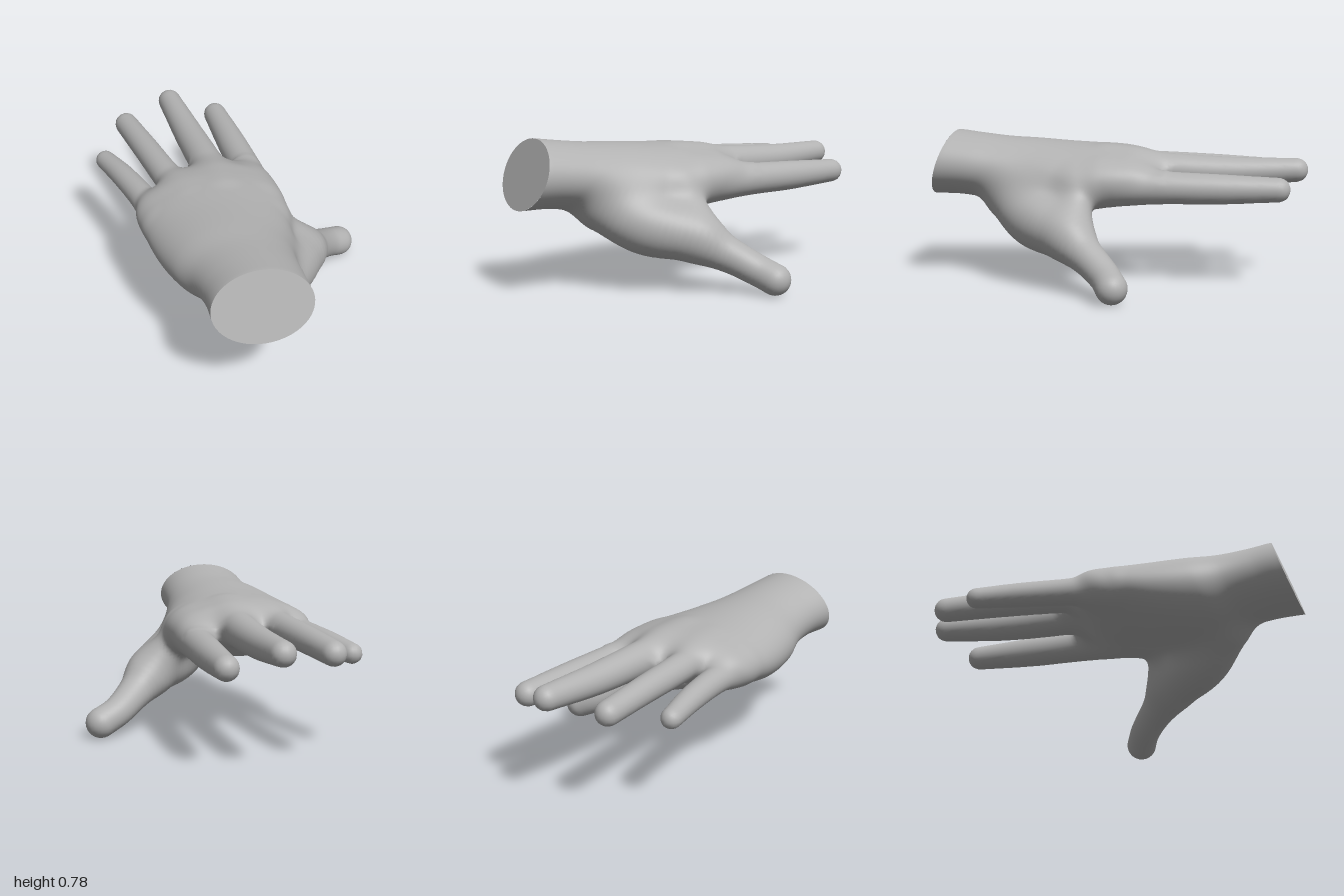
import * as THREE from 'three';

// The wrist is cut by a sloping plane: w = z + SLOPE * (y - MID_Y) is constant on it.
const SLOPE = 0.33, MID_Y = 0.61, CUT = 0.943;
const STEP = 0.018;                       // mesh resolution
const SIZE = [83, 52, 114];               // grid cells along x, y, w
const ORIGIN = [-0.75, -0.07, CUT - SIZE[2] * STEP];

// Palm and wrist sections, from knuckles to wrist: [w, left edge, right edge, top, bottom]
const SECTIONS = [
  [-0.26, -0.19, 0.05, 0.585, 0.555],
  [-0.19, -0.29, 0.13, 0.635, 0.475],
  [-0.1, -0.43, 0.19, 0.685, 0.41],
  [0, -0.525, 0.215, 0.705, 0.383],
  [0.12, -0.525, 0.22, 0.715, 0.362],
  [0.3, -0.495, 0.205, 0.725, 0.338],
  [0.5, -0.435, 0.17, 0.74, 0.36],
  [0.65, -0.37, 0.155, 0.75, 0.41],
  [0.8, -0.34, 0.155, 0.767, 0.433],
  [CUT, -0.335, 0.16, 0.785, 0.435],
];
const PALM_END = SECTIONS[0][0];

// Digits as chains of [x, y, z, radius], from tip to root
const DIGITS = {
  indexFinger: [[0.057, 0.513, -0.857, 0.063], [0.085, 0.513, -0.55, 0.078], [0.107, 0.518, -0.25, 0.087], [0.1, 0.523, 0.06, 0.117]],
  middleFinger: [[-0.193, 0.588, -0.937, 0.063], [-0.148, 0.577, -0.6, 0.079], [-0.107, 0.586, -0.25, 0.09], [-0.09, 0.6, 0.06, 0.1]],
  ringFinger: [[-0.466, 0.555, -0.798, 0.062], [-0.4, 0.572, -0.5, 0.069], [-0.333, 0.583, -0.2, 0.076], [-0.262, 0.59, 0.08, 0.086]],
  littleFinger: [[-0.622, 0.503, -0.543, 0.052], [-0.552, 0.52, -0.35, 0.062], [-0.476, 0.53, -0.1, 0.07], [-0.425, 0.53, 0.12, 0.085]],
  thumb: [[0.592, 0.083, -0.088, 0.08], [0.505, 0.125, -0.035, 0.08], [0.402, 0.2, 0.075, 0.092],
    [0.28, 0.29, 0.235, 0.13], [0.148, 0.345, 0.4, 0.155], [0.015, 0.435, 0.56, 0.135]],
};
// Skin between the finger roots, and between palm and thumb
const FINGER_WEB = [[-0.42, 0.53, 0.01, 0.065], [-0.22, 0.58, -0.13, 0.065], [0, 0.555, -0.17, 0.065], [0.1, 0.53, -0.12, 0.065]];
const THUMB_WEB = [[0.13, 0.5, 0.18, 0.09], [0.23, 0.4, 0.165, 0.078], [0.3, 0.3, 0.17, 0.088]];

// Distance to a smooth tapering chain of spheres
function chain(points) {
  const path = new THREE.CatmullRomCurve3(points.map(p => new THREE.Vector3(p[0], p[1], p[2])));
  const radius = new THREE.CatmullRomCurve3(points.map((p, i) => new THREE.Vector3(p[3], i, 0)));
  const count = (points.length - 1) * 7;
  const nodes = [];
  for (let i = 0; i <= count; i++) {
    const c = path.getPoint(i / count);
    nodes.push([c.x, c.y, c.z, radius.getPoint(i / count).x]);
  }
  return (x, y, z) => {
    let best = Infinity;
    for (let i = 0; i < count; i++) {
      const a = nodes[i], b = nodes[i + 1];
      const ux = b[0] - a[0], uy = b[1] - a[1], uz = b[2] - a[2];
      const px = x - a[0], py = y - a[1], pz = z - a[2];
      const t = Math.min(1, Math.max(0, (px * ux + py * uy + pz * uz) / (ux * ux + uy * uy + uz * uz)));
      const dx = px - t * ux, dy = py - t * uy, dz = pz - t * uz;
      best = Math.min(best, Math.sqrt(dx * dx + dy * dy + dz * dz) - a[3] - t * (b[3] - a[3]));
    }
    return best;
  };
}

// Distance to the elliptical loft of the palm and wrist
const loft = new THREE.CubicInterpolant(
  new Float32Array(SECTIONS.map(s => s[0])), new Float32Array(SECTIONS.flatMap(s => s.slice(1))), 4);
function palmLoft(x, y, z) {
  const w = z + SLOPE * (y - MID_Y);
  const [x0, x1, top, bottom] = loft.evaluate(w);
  const rx = (x1 - x0) / 2, ry = (top - bottom) / 2;
  const dx = (x - (x0 + x1) / 2) / rx, dy = (y - (top + bottom) / 2) / ry;
  const k = Math.hypot(dx, dy) + 1e-6;
  return Math.max(k * (k - 1) / (Math.hypot(dx / rx, dy / ry) + 1e-6), PALM_END - w);
}

// Smooth union of two distances
function blend(a, b, k) {
  const h = Math.max(k - Math.abs(a - b), 0) / k;
  return Math.min(a, b) - h * h * k / 4;
}

const fingerWeb = chain(FINGER_WEB), thumbWeb = chain(THUMB_WEB);
const digitNames = Object.keys(DIGITS);
const digitFields = digitNames.map(name => chain(DIGITS[name]));
const palm = (x, y, z) => blend(blend(palmLoft(x, y, z), fingerWeb(x, y, z), 0.06), thumbWeb(x, y, z), 0.08);
function hand(x, y, z) {
  let fingers = Infinity;
  for (let i = 0; i < 4; i++) {
    const d = digitFields[i](x, y, z);
    fingers = i ? blend(fingers, d, 0.02) : d;
  }
  const body = blend(palm(x, y, z), fingers, 0.055);
  return blend(body, digitFields[4](x, y, z), 0.1);
}
function slope(p) {
  const e = 0.02;
  return new THREE.Vector3(
    hand(p.x + e, p.y, p.z) - hand(p.x - e, p.y, p.z),
    hand(p.x, p.y + e, p.z) - hand(p.x, p.y - e, p.z),
    hand(p.x, p.y, p.z + e) - hand(p.x, p.y, p.z - e)).divideScalar(2 * e);
}

// Skin the blended parts with quads, sorted by the part they belong to
function skin() {
  const [nx, ny, nz] = SIZE;
  const strides = [1, nx + 1, (nx + 1) * (ny + 1)];
  const at = (i, j, k) => i + j * strides[1] + k * strides[2];
  const place = (i, j, k) => {
    const y = ORIGIN[1] + j * STEP;
    return new THREE.Vector3(ORIGIN[0] + i * STEP, y, ORIGIN[2] + k * STEP - SLOPE * (y - MID_Y));
  };
  const values = new Float32Array((nx + 1) * (ny + 1) * (nz + 1));
  for (let k = 0; k <= nz; k++) for (let j = 0; j <= ny; j++) for (let i = 0; i <= nx; i++) {
    const p = place(i, j, k);
    values[at(i, j, k)] = hand(p.x, p.y, p.z);
  }

  // One vertex in each cell the surface crosses
  const vertexOf = new Int32Array(values.length).fill(-1);
  const positions = [], normals = [], owners = [];
  for (let k = 0; k < nz; k++) for (let j = 0; j < ny; j++) for (let i = 0; i < nx; i++) {
    const sum = [0, 0, 0];
    let hits = 0;
    for (let c = 0; c < 8; c++) for (let axis = 0; axis < 3; axis++) {
      if (c >> axis & 1) continue;
      const corner = [c & 1, c >> 1 & 1, c >> 2 & 1];
      const id = at(i + corner[0], j + corner[1], k + corner[2]);
      const a = values[id], b = values[id + strides[axis]];
      if ((a < 0) === (b < 0)) continue;
      corner[axis] += a / (a - b);
      corner.forEach((v, n) => { sum[n] += v; });
      hits++;
    }
    if (!hits) continue;
    const p = place(i + sum[0] / hits, j + sum[1] / hits, k + sum[2] / hits);
    const g = slope(p);
    p.addScaledVector(g, -hand(p.x, p.y, p.z) / Math.max(g.lengthSq(), 0.3));
    if (k === nz - 1) p.z = CUT - SLOPE * (p.y - MID_Y);   // straight rim at the wrist
    const n = slope(p).normalize();
    const distances = [...digitFields.map(f => f(p.x, p.y, p.z)), palm(p.x, p.y, p.z)];
    vertexOf[at(i, j, k)] = owners.length;
    owners.push(distances.indexOf(Math.min(...distances)));
    positions.push(p.x, p.y, p.z);
    normals.push(n.x, n.y, n.z);
  }

  // One quad around each grid edge the surface crosses
  const faces = [...digitNames, 'palm'].map(() => []);
  for (let k = 1; k < nz; k++) for (let j = 1; j < ny; j++) for (let i = 1; i < nx; i++) {
    const id = at(i, j, k);
    for (let axis = 0; axis < 3; axis++) {
      const inside = values[id] < 0;
      if (inside === (values[id + strides[axis]] < 0)) continue;
      const u = strides[(axis + 1) % 3], v = strides[(axis + 2) % 3];
      const q = [id - u - v, id - v, id, id - u].map(n => vertexOf[n]);
      if (!inside) q.reverse();
      faces[owners[q[0]]].push(q[0], q[1], q[2], q[0], q[2], q[3]);
    }
  }
  return { positions, normals, faces };
}

export function createModel() {
  const model = new THREE.Group();
  model.name = 'hand';
  const grey = new THREE.MeshStandardMaterial({ color: 0xb2b2b2 });
  grey.name = 'grey';

  // Palm, fingers and thumb share one seamless skin
  const { positions, normals, faces } = skin();
  const position = new THREE.Float32BufferAttribute(positions, 3);
  const normal = new THREE.Float32BufferAttribute(normals, 3);
  [...digitNames, 'palm'].forEach((name, i) => {
    const geometry = new THREE.BufferGeometry();
    geometry.setAttribute('position', position);
    geometry.setAttribute('normal', normal);
    geometry.setIndex(faces[i]);
    const mesh = new THREE.Mesh(geometry, grey);
    mesh.name = name;
    model.add(mesh);
  });

  // Flat end of the wrist
  const [, x0, x1, top, bottom] = SECTIONS[SECTIONS.length - 1];
  const cap = new THREE.CircleGeometry(1, 48);
  cap.scale((x1 - x0) / 2, (top - bottom) / 2, 1);
  cap.translate((x0 + x1) / 2, (top + bottom) / 2, 0);
  const points = cap.attributes.position;
  for (let i = 0; i < points.count; i++) points.setZ(i, CUT - SLOPE * (points.getY(i) - MID_Y));
  cap.computeVertexNormals();
  const wristEnd = new THREE.Mesh(cap, grey);
  wristEnd.name = 'wristEnd';
  model.add(wristEnd);
  return model;
}
